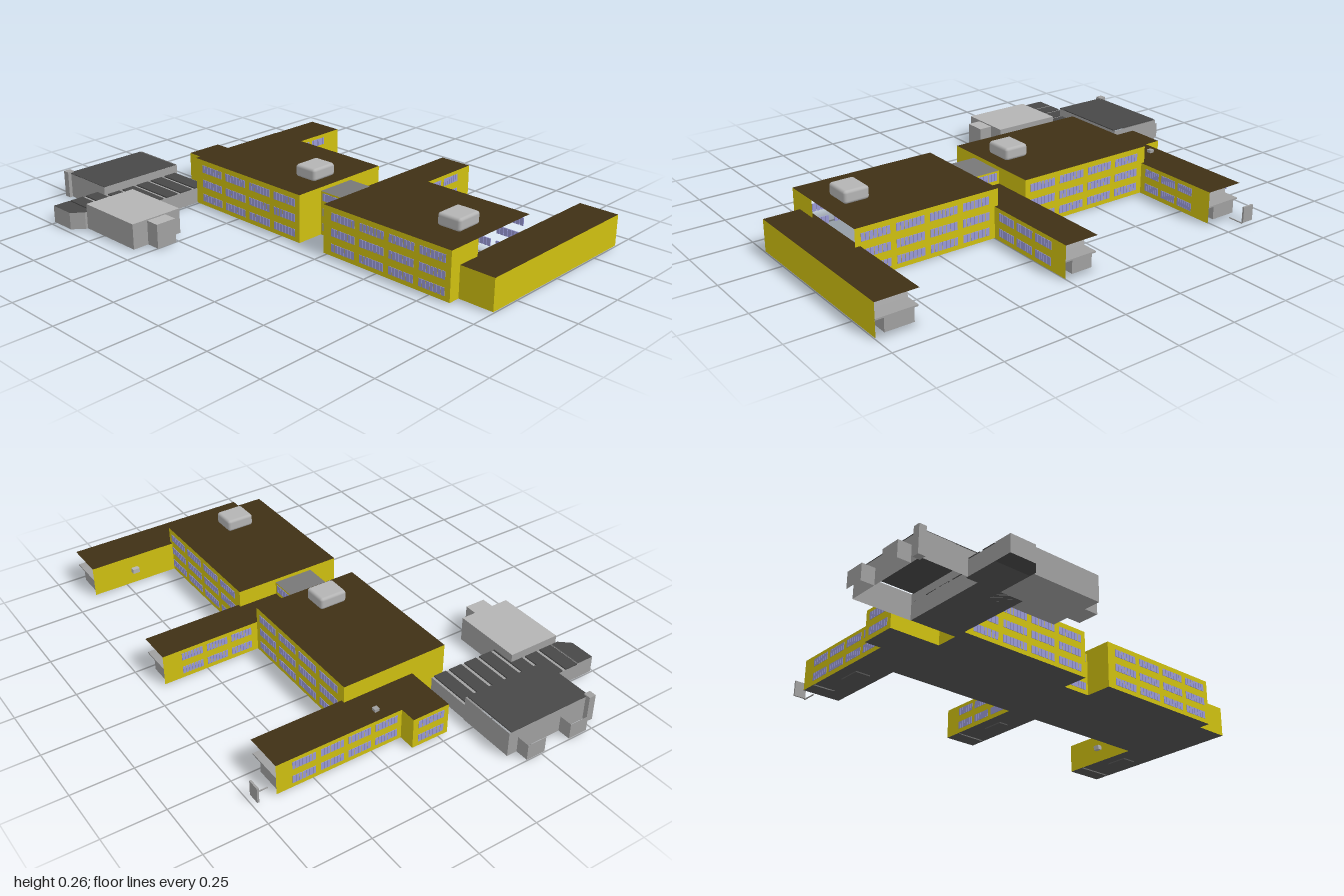
import * as THREE from 'three';
import { mergeGeometries } from 'three/addons/utils/BufferGeometryUtils.js';
import { RoundedBoxGeometry } from 'three/addons/geometries/RoundedBoxGeometry.js';

const mat = (color, side = THREE.FrontSide) => new THREE.MeshStandardMaterial({ color, side });
const yellow = mat(0xcfc010), brown = mat(0x3f3015), glass = mat(0x9999d6), grey = mat(0xa0a0a0);
const lightGrey = mat(0xb4b4b4), midGrey = mat(0x777777), slate = mat(0x484848), under = mat(0x555555);
const greyThin = mat(0xa0a0a0, THREE.DoubleSide), slateThin = mat(0x484848, THREE.DoubleSide);
const SIDES = ['+x', '-x', '+y', '-y', '+z', '-z'];
const WALLS = ['+x', '-x', '+z', '-z'];

// Box given by its limits, keeping only the listed faces
function boxGeometry([x0, x1], [y0, y1], [z0, z1], faces = SIDES) {
  const g = new THREE.BoxGeometry(x1 - x0, y1 - y0, z1 - z0);
  g.translate((x0 + x1) / 2, (y0 + y1) / 2, (z0 + z1) / 2);
  const index = Array.from(g.index.array);
  g.setIndex(index.filter((_, i) => faces.includes(SIDES[Math.floor(i / 6)])));
  g.clearGroups();
  return g;
}

function add(parent, name, geometry, material) {
  const mesh = new THREE.Mesh(geometry, material);
  mesh.name = name;
  parent.add(mesh);
  return mesh;
}

// Walls, roof and floor of one hollow volume
function building(parent, name, x, y, z, { open = [], wall = yellow, roof = brown, floor = under } = {}) {
  const g = new THREE.Group();
  g.name = name;
  add(g, 'walls', boxGeometry(x, y, z, WALLS.filter((f) => !open.includes(f))), wall);
  if (roof) add(g, 'roof', boxGeometry(x, y, z, ['+y']), roof);
  if (floor) add(g, 'floor', boxGeometry(x, y, z, ['-y']), floor);
  parent.add(g);
  return g;
}

// Rows of window bands; the wall is at `at` on `axis`, bands run along the other axis
function windows(parent, name, axis, at, [from, to], bands, rows, panes = 7) {
  const list = [];
  const pitch = (to - from) / bands;
  const width = pitch * 0.84;
  const depth = [at - 0.002, at + 0.002];
  for (const y of rows) {
    for (let b = 0; b < bands; b++) {
      const start = from + b * pitch + (pitch - width) / 2;
      for (let p = 0; p < panes; p++) {
        const a = start + (p * width) / panes;
        const span = [a, a + (width / panes) * 0.85];
        const height = [y - 0.016, y + 0.016];
        list.push(axis === 'x' ? boxGeometry(depth, height, span) : boxGeometry(span, height, depth));
      }
    }
  }
  add(parent, name, mergeGeometries(list), glass);
}

export function createModel() {
  const model = new THREE.Group();
  model.name = 'schoolBuilding';
  const base = 0.005, tall = 0.205, low = 0.135;
  const threeRows = [0.04, 0.103, 0.167], twoRows = [0.04, 0.103];

  // Two main blocks; the front one is open above the front wing
  const blockX = [-0.19, 0.27];
  const blocks = [
    ['rearBlock', [-0.5, 0.11], []],
    ['frontBlock', [0.24, 0.85], ['+z']],
  ];
  for (const [name, z, open] of blocks) {
    const block = building(model, name, blockX, [base, tall], z, { open });
    for (const x of blockX) {
      windows(block, 'blockWindows', 'x', x, [z[0] + 0.03, z[1] - 0.01], 4, threeRows);
    }
  }
  add(model, 'frontBlockEndWall', boxGeometry([-0.19, -0.04], [base, tall], [0.84, 0.85], ['+z']), yellow);

  // Glazed link between the blocks
  const link = building(model, 'link', [-0.07, 0.1], [base, 0.19], [0.11, 0.24], { roof: midGrey });
  for (const x of [-0.07, 0.1]) windows(link, 'linkWindows', 'x', x, [0.11, 0.24], 1, threeRows, 8);
  windows(link, 'linkEndWindows', 'z', 0.24, [-0.04, 0.09], 1, [0.165], 8);

  // Three low wings, each open at the outer end with a stair landing inside
  const wings = [
    ['rearWing', [-0.04, 0.655], [-0.65, -0.485]],
    ['middleWing', [0.1, 0.69], [0.11, 0.255]],
    ['frontWing', [-0.14, 0.65], [0.83, 1.0]],
  ];
  for (const [name, x, z] of wings) {
    const wing = building(model, name, x, [base, low], z, { open: ['+x'] });
    const end = x[1];
    add(wing, 'endWall', boxGeometry([end - 0.08, end - 0.07], [base, low - 0.003], [z[0] + 0.003, z[1] - 0.003]), lightGrey);
    add(wing, 'landing', boxGeometry([end - 0.07, end - 0.004], [0.066, 0.072], [z[0] + 0.003, z[1] - 0.003]), grey);
    add(wing, 'stairBox', boxGeometry([end - 0.07, end - 0.012], [base + 0.003, 0.062], [z[0] + 0.015, z[1] - 0.04]), grey);
    add(wing, 'doorstep', boxGeometry([end - 0.3, end - 0.2], [0, base], [z[0] + 0.05, z[1] - 0.05]), under);
  }
  windows(model, 'rearWingSouthWindows', 'z', -0.485, [0.29, 0.57], 3, twoRows);
  windows(model, 'rearWingNorthWindows', 'z', -0.65, [0.13, 0.6], 4, twoRows);
  for (const z of [0.11, 0.255]) windows(model, 'middleWingWindows', 'z', z, [0.29, 0.62], 3, twoRows);
  add(model, 'frontWingVent', boxGeometry([0.445, 0.475], [0.06, 0.08], [0.81, 0.83]), lightGrey);

  // Bay on the back of the rear wing
  const bay = building(model, 'rearBay', [-0.04, 0.12], [base, low], [-0.72, -0.65]);
  windows(bay, 'bayWindows', 'z', -0.72, [-0.03, 0.11], 1, twoRows);

  // Rooftop plant units
  for (const z of [0, 0.722]) {
    const unit = add(model, 'rooftopUnit', new RoundedBoxGeometry(0.12, 0.052, 0.105, 2, 0.012), lightGrey);
    unit.position.set(0.01, 0.23, z);
  }
  add(model, 'roofVent', boxGeometry([0.19, 0.21], [low, 0.147], [-0.61, -0.59]), grey);

  // Sports hall with an open underside
  const hall = building(model, 'hall', [-0.52, -0.135], [base, 0.11], [-0.945, -0.7],
    { wall: greyThin, roof: null, floor: null });
  add(hall, 'hallRoof', boxGeometry([-0.52, -0.145], [0.108, 0.112], [-0.945, -0.7]), slateThin);
  add(hall, 'hallVent', boxGeometry([-0.535, -0.505], [base, 0.118], [-0.965, -0.935]), grey);

  // Topless porches behind the hall
  for (const x of [[-0.47, -0.385], [-0.265, -0.18]]) {
    building(model, 'porch', x, [base, 0.072], [-1, -0.945], { wall: grey, roof: null, floor: null });
  }

  // Low annexes roofed by separate dark strips
  const strips = (name, x0, count, pitch, z, first) => {
    const annex = building(model, name, [x0, x0 + count * pitch], [base, 0.071], z, { wall: grey, roof: grey });
    for (let i = first; i < count; i++) {
      const a = x0 + i * pitch;
      add(annex, 'roofStrip', boxGeometry([a + 0.006, a + pitch - 0.01], [0.071, 0.076], z), slate);
    }
  };
  strips('southAnnex', -0.51, 5, 0.0745, [-0.7, -0.5], 0);
  strips('westAnnex', -0.66, 2, 0.075, [-0.75, -0.6], 0);

  // Chamfered corner at the end of the west annex
  const corner = new THREE.Shape([[-0.735, 0.75], [-0.66, 0.75], [-0.66, 0.6], [-0.69, 0.6], [-0.735, 0.64]]
    .map(([x, y]) => new THREE.Vector2(x, y)));
  const cornerGeometry = new THREE.ExtrudeGeometry(corner, { depth: 0.071, bevelEnabled: false });
  cornerGeometry.rotateX(-Math.PI / 2);
  add(model, 'annexCorner', cornerGeometry, [slate, grey]).position.y = base;

  // Light-roofed block with a small entrance
  building(model, 'sideHall', [-0.68, -0.45], [base, 0.11], [-0.6, -0.3], { wall: grey, roof: lightGrey, floor: grey });
  building(model, 'sideEntrance', [-0.61, -0.52], [base, 0.105], [-0.3, -0.24], { wall: grey, roof: lightGrey, floor: grey });

  // Free-standing screen beyond the rear wing
  add(model, 'screen', boxGeometry([0.724, 0.732], [base, 0.07], [-0.65, -0.6]), grey);
  add(model, 'screenKerb', boxGeometry([0.66, 0.728], [0, 0.004], [-0.602, -0.598]), grey);
  return model;
}
